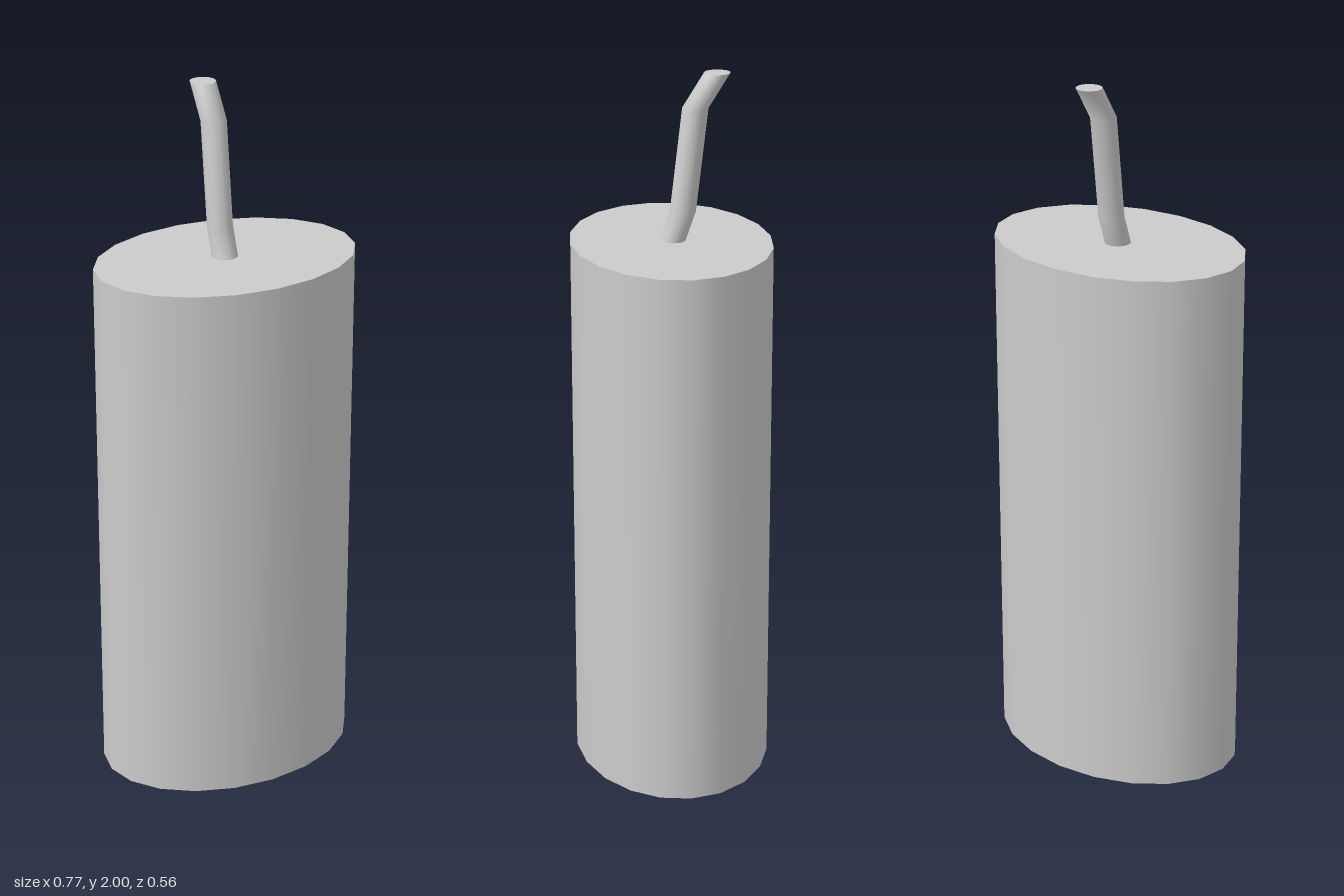
import * as THREE from 'three';

export function createModel() {
  const group = new THREE.Group();
  const material = new THREE.MeshStandardMaterial({ color: 0xcccccc });

  // Body: oval cylinder standing on the ground
  const height = 1.535;
  const bodyGeometry = new THREE.CylinderGeometry(1, 1, height, 20);
  bodyGeometry.scale(0.383, 1, 0.28);
  bodyGeometry.translate(0, height / 2, 0);
  const body = new THREE.Mesh(bodyGeometry, material);
  body.name = 'body';
  group.add(body);

  // Wick: level rings shifted back to bend the stem, listed top to bottom as [y, z]
  const rings = [[2, -0.127], [1.905, -0.067], [1.615, -0.033], [height, -0.005]];
  const spans = rings.length - 1;
  const wickGeometry = new THREE.CylinderGeometry(0.036, 0.036, spans, 32, spans);
  const position = wickGeometry.attributes.position;
  for (let i = 0; i < position.count; i++) {
    const [y, z] = rings[Math.round(spans / 2 - position.getY(i))];
    position.setY(i, y);
    position.setZ(i, position.getZ(i) + z);
  }
  wickGeometry.computeVertexNormals();
  const wick = new THREE.Mesh(wickGeometry, material);
  wick.name = 'wick';
  group.add(wick);

  return group;
}
